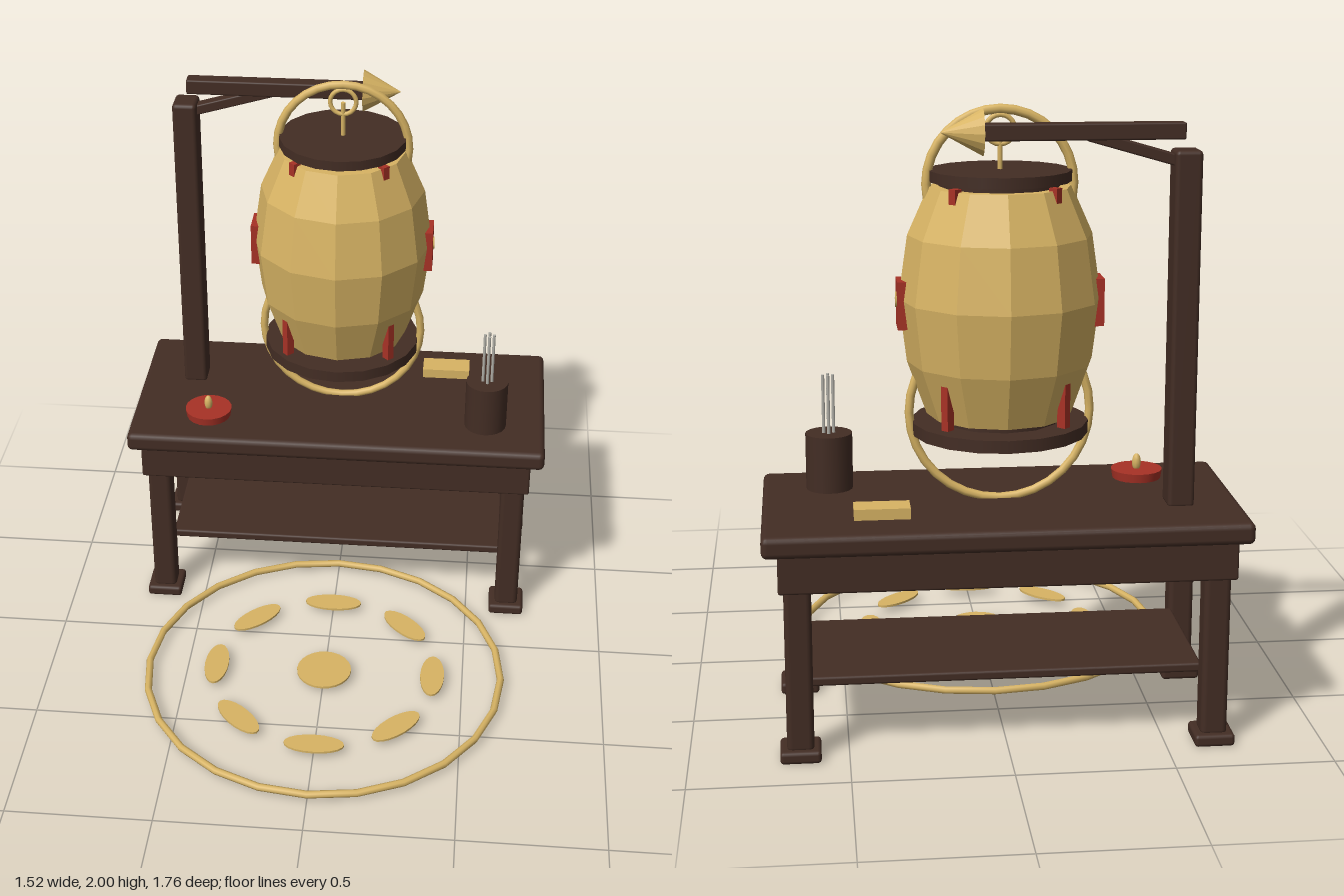
import * as THREE from 'three';
import { RoundedBoxGeometry } from 'three/addons/geometries/RoundedBoxGeometry.js';

const material = (name, color) => {
  const m = new THREE.MeshStandardMaterial({ color });
  m.name = name;
  return m;
};

// Gives every face its own normal for a faceted look
const faceted = (geometry) => {
  const g = geometry.index ? geometry.toNonIndexed() : geometry;
  g.computeVertexNormals();
  return g;
};

export function createModel() {
  const wood = material('darkWood', 0x432d24);
  const gold = material('gold', 0xd8b464);
  const red = material('red', 0xa83226);
  const grey = material('paleGrey', 0xb4b2aa);

  const model = new THREE.Group();
  model.name = 'lanternWorkbench';
  const group = (name, x = 0, y = 0, z = 0) => {
    const g = new THREE.Group();
    g.name = name;
    g.position.set(x, y, z);
    model.add(g);
    return g;
  };
  const add = (parent, name, geometry, mat, x = 0, y = 0, z = 0) => {
    const mesh = new THREE.Mesh(geometry, mat);
    mesh.name = name;
    mesh.position.set(x, y, z);
    parent.add(mesh);
    return mesh;
  };
  const rounded = (w, h, d, r = 0.008) => new RoundedBoxGeometry(w, h, d, 2, r);
  const Z = -0.525; // centre line of the bench

  // Bench
  const bench = group('bench', 0, 0, Z);
  add(bench, 'tableTop', rounded(1.516, 0.07, 0.71, 0.02), wood, 0, 0.71, 0);
  add(bench, 'shelf', rounded(1.24, 0.03, 0.5), wood, 0, 0.237, 0);
  for (const s of [-1, 1]) {
    add(bench, 'longApron', rounded(1.42, 0.125, 0.036), wood, 0, 0.62, s * 0.32);
    add(bench, 'sideApron', rounded(0.036, 0.125, 0.59), wood, s * 0.68, 0.62, 0);
    for (const t of [-1, 1]) {
      add(bench, 'leg', rounded(0.085, 0.65, 0.085, 0.018), wood, s * 0.652, 0.355, t * 0.275);
      add(bench, 'foot', rounded(0.128, 0.04, 0.128, 0.012), wood, s * 0.652, 0.022, t * 0.275);
    }
  }

  // Hanging post with arm and brace
  const stand = group('hangingPost', 0, 0, -0.625);
  add(stand, 'post', rounded(0.085, 1.13, 0.105, 0.014), wood, -0.562, 1.302, 0);
  add(stand, 'arm', rounded(0.62, 0.052, 0.055, 0.006), wood, -0.245, 1.924, 0);
  add(stand, 'brace', rounded(0.31, 0.035, 0.045, 0.005), wood, -0.405, 1.87, 0)
    .rotation.z = 0.28;

  // Horn at the end of the arm
  const neck = add(stand, 'hornNeck', new THREE.CylinderGeometry(0.016, 0.016, 0.1, 10), gold, 0.03, 1.924, 0);
  const horn = add(stand, 'hornCone', faceted(new THREE.ConeGeometry(0.072, 0.13, 16)), gold, 0.128, 1.924, 0);
  neck.rotation.z = horn.rotation.z = -Math.PI / 2;

  // Lantern body: a faceted barrel
  const lantern = group('lantern', 0, 0, Z);
  const profile = [[0, 1.03], [0.232, 1.03], [0.293, 1.2], [0.318, 1.4], [0.289, 1.6], [0.222, 1.75], [0, 1.75]]
    .map(([r, y]) => new THREE.Vector2(r, y));
  add(lantern, 'lanternBody', faceted(new THREE.LatheGeometry(profile, 12)), gold);
  add(lantern, 'lid', new THREE.CylinderGeometry(0.222, 0.222, 0.034, 18), wood, 0, 1.783, 0);
  add(lantern, 'base', new THREE.CylinderGeometry(0.28, 0.28, 0.04, 18), wood, 0, 0.988, 0);
  add(lantern, 'core', new THREE.CylinderGeometry(0.19, 0.19, 0.79, 12), wood, 0, 1.39, 0);

  // Handle hoop above, stand hoop below
  add(lantern, 'handleHoop', new THREE.TorusGeometry(0.229, 0.015, 8, 32), gold, 0, 1.756, 0);
  add(lantern, 'lowerHoop', new THREE.TorusGeometry(0.288, 0.014, 8, 32), gold, 0, 1.034, 0);
  add(lantern, 'hangingRing', new THREE.TorusGeometry(0.045, 0.008, 8, 20), gold, 0, 1.922, 0);
  add(lantern, 'hangingStem', new THREE.CylinderGeometry(0.008, 0.008, 0.12, 8), gold, 0, 1.86, 0);

  // Red ribs near both ends, on the diagonals
  for (let i = 0; i < 4; i++) {
    const a = Math.PI / 4 + (i * Math.PI) / 2;
    for (const [r, y, h] of [[0.254, 1.093, 0.146], [0.215, 1.727, 0.066]]) {
      add(lantern, 'rib', new THREE.BoxGeometry(0.026, h, 0.03), red, Math.sin(a) * r, y, Math.cos(a) * r)
        .rotation.y = a;
    }
  }

  // Plaques with a small diamond on both sides
  for (const s of [-1, 1]) {
    add(lantern, 'plaque', new THREE.BoxGeometry(0.03, 0.15, 0.105), red, s * 0.308, 1.383 + 0.002, 0);
    const diamond = add(lantern, 'plaqueDiamond', new THREE.CylinderGeometry(0.024, 0.024, 0.008, 4), gold, s * 0.324, 1.398, 0);
    diamond.rotation.z = Math.PI / 2;
    diamond.scale.z = 0.75;
  }

  // Red dish with a gold knob
  const dish = group('dish', -0.478, 0.745, -0.34);
  add(dish, 'dishBody', new THREE.CylinderGeometry(0.085, 0.08, 0.03, 20), red, 0, 0.015, 0);
  add(dish, 'dishKnob', new THREE.SphereGeometry(0.015, 10, 8), gold, 0, 0.05, 0).scale.y = 2;

  // Cup with four sticks
  const cup = group('cup', 0.54, 0.745, -0.362);
  add(cup, 'cupBody', new THREE.CylinderGeometry(0.076, 0.076, 0.185, 20), wood, 0, 0.0925, 0);
  for (let i = 0; i < 4; i++) {
    const a = (i * Math.PI) / 2;
    add(cup, 'stick', new THREE.CylinderGeometry(0.006, 0.006, 0.22, 6), grey,
      Math.sin(a) * 0.016, 0.268, Math.cos(a) * 0.016);
  }

  // Small ingot block
  add(model, 'block', new THREE.BoxGeometry(0.175, 0.035, 0.085), gold, 0.385, 0.768, -0.703);

  // Floor ring with petals round a centre disc
  const floor = group('floorPattern', 0, 0.03, 0.225);
  add(floor, 'floorRing', new THREE.TorusGeometry(0.638, 0.013, 8, 24), gold).rotation.x = Math.PI / 2;
  add(floor, 'centreDisc', new THREE.CylinderGeometry(0.098, 0.098, 0.008, 24), gold);
  for (let i = 0; i < 8; i++) {
    const a = (i * Math.PI) / 4;
    const petal = add(floor, 'petal', new THREE.CylinderGeometry(0.105, 0.105, 0.008, 20), gold,
      Math.sin(a) * 0.392, 0, Math.cos(a) * 0.392);
    petal.rotation.y = a;
    petal.scale.z = 0.41;
  }
  return model;
}
